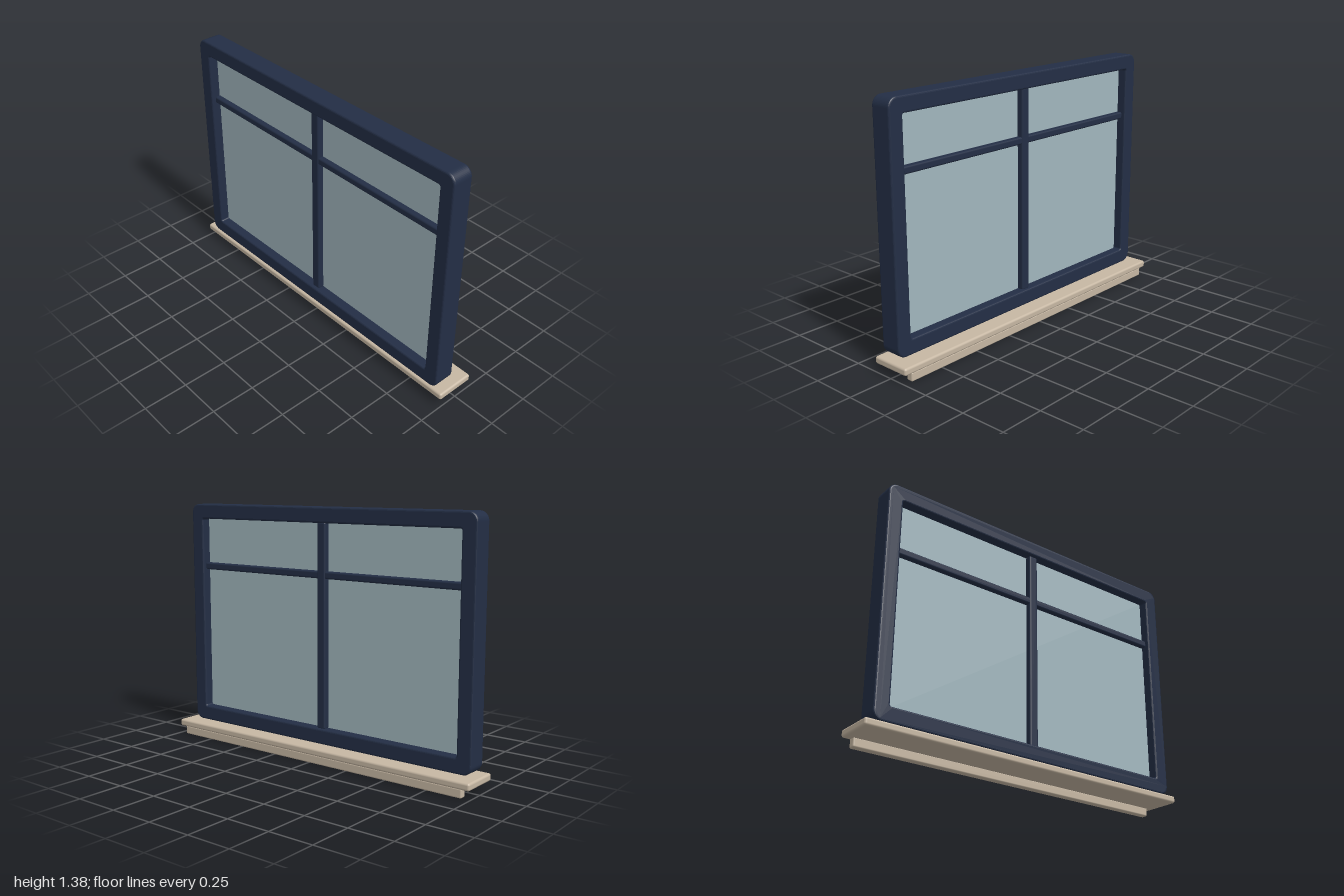
import * as THREE from 'three';
import { RoundedBoxGeometry } from 'three/addons/geometries/RoundedBoxGeometry.js';

const navy = new THREE.MeshStandardMaterial({ color: 0x232e45 });
navy.name = 'navy paint';
const stone = new THREE.MeshStandardMaterial({ color: 0xc6b7a3 });
stone.name = 'beige stone';
const pane = new THREE.MeshStandardMaterial({ color: 0xa2b7be });
pane.name = 'pale glass';

// Traces a rounded rectangle centred on the origin
function roundedRect(path, w, h, r) {
  const x = w / 2 - r, y = h / 2 - r;
  path.moveTo(x + r, -y);
  path.absarc(x, y, r, 0, Math.PI / 2);
  path.absarc(-x, y, r, Math.PI / 2, Math.PI);
  path.absarc(-x, -y, r, Math.PI, Math.PI * 1.5);
  path.absarc(x, -y, r, Math.PI * 1.5, Math.PI * 2);
  path.closePath();
  return path;
}

export function createModel() {
  const model = new THREE.Group();
  model.name = 'window';

  const add = (name, geometry, material, x, y, z = 0) => {
    const mesh = new THREE.Mesh(geometry, material);
    mesh.name = name;
    mesh.position.set(x, y, z);
    model.add(mesh);
  };
  const bar = (w, h, d, r) => new RoundedBoxGeometry(w, h, d, 3, r);

  // Outer frame: a rounded surround with softened edges
  const frameX = -0.045, frameY = 0.735, bevel = 0.01, depth = 0.12;
  const outline = roundedRect(new THREE.Shape(), 1.91 - 2 * bevel, 1.3 - 2 * bevel, 0.04);
  outline.holes.push(roundedRect(new THREE.Path(), 1.74 + 2 * bevel, 1.13 + 2 * bevel, 0.02));
  const frame = new THREE.ExtrudeGeometry(outline, {
    depth: depth - 2 * bevel, bevelEnabled: true, bevelSize: bevel,
    bevelThickness: bevel, bevelSegments: 3, curveSegments: 6,
  });
  frame.translate(0, 0, -depth / 2 + bevel);
  frame.rotateY(Math.PI / 2);
  add('frame', frame, navy, frameX, frameY);

  // Glass and glazing bars
  add('glass', new THREE.BoxGeometry(0.012, 1.15, 1.76), pane, frameX, frameY);
  add('mullion', bar(0.08, 1.14, 0.054, 0.01), navy, frameX, frameY);
  add('transom', bar(0.072, 0.04, 1.75, 0.01), navy, frameX, 1.02);

  // Sill with the apron strip beneath its outer edge
  add('sill', bar(0.225, 0.04, 2, 0.012), stone, -0.0025, 0.065);
  add('apron', bar(0.04, 0.05, 1.91, 0.008), stone, 0.086, 0.025);

  return model;
}
